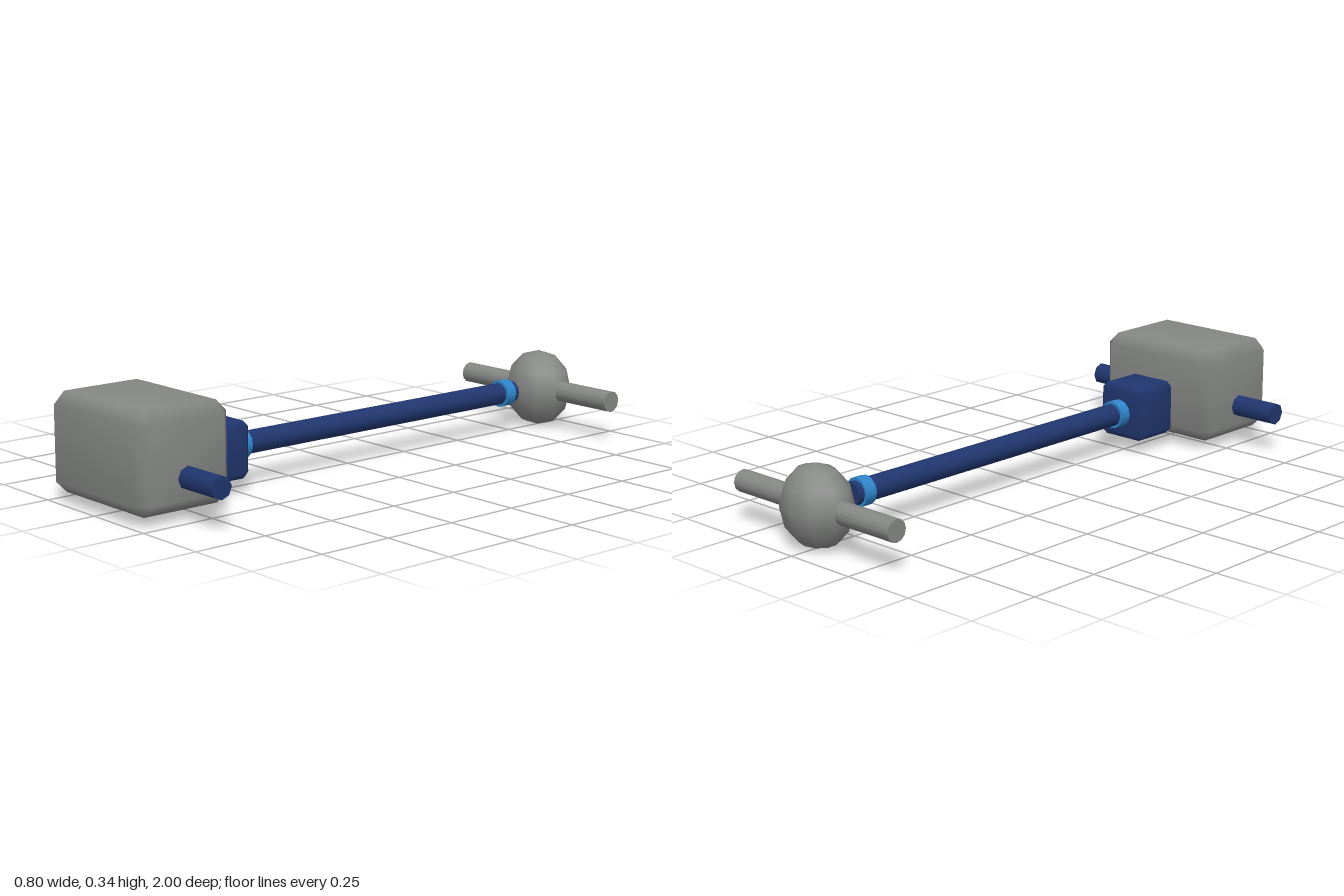
import * as THREE from 'three';
import { mergeVertices } from 'three/addons/utils/BufferGeometryUtils.js';
import { ConvexGeometry } from 'three/addons/geometries/ConvexGeometry.js';

const material = (name, color) => Object.assign(new THREE.MeshStandardMaterial({ color }), { name });

// Box with single-step bevels on every edge and smooth shading
function bevelBox(w, h, d, bevel) {
  const half = [w / 2, h / 2, d / 2];
  const points = [];
  for (const sx of [-1, 1]) for (const sy of [-1, 1]) for (const sz of [-1, 1]) {
    for (let axis = 0; axis < 3; axis++) {
      const p = half.map((v, i) => (i === axis ? v : v - bevel));
      points.push(new THREE.Vector3(sx * p[0], sy * p[1], sz * p[2]));
    }
  }
  let geometry = new ConvexGeometry(points);
  geometry.deleteAttribute('normal');
  geometry = mergeVertices(geometry, 1e-5);
  geometry.computeVertexNormals();
  return geometry;
}

export function createModel() {
  const group = new THREE.Group();
  const grey = material('cast grey', 0x868886);
  const navy = material('navy', 0x20366f);
  const blue = material('bright blue', 0x2f86cc);
  const axisY = 0.135;

  const add = (name, geometry, mat, y, z) => {
    const mesh = new THREE.Mesh(geometry, mat);
    mesh.name = name;
    mesh.position.set(0, y, z);
    group.add(mesh);
    return mesh;
  };
  // Rods across the model (x) and along it (z)
  const crossRod = (name, radius, length, sides, mat, z) =>
    add(name, new THREE.CylinderGeometry(radius, radius, length, sides).rotateZ(Math.PI / 2), mat, axisY, z);
  const longRod = (name, radius, z0, z1, sides, mat) =>
    add(name, new THREE.CylinderGeometry(radius, radius, z1 - z0, sides).rotateX(Math.PI / 2), mat, axisY + 0.001, (z0 + z1) / 2);

  // Front power unit and its output axle
  add('engineBlock', bevelBox(0.476, 0.316, 0.345, 0.038), grey, 0.187, 0.8275);
  crossRod('frontAxle', 0.037, 0.795, 8, navy, 0.827);
  add('gearbox', bevelBox(0.184, 0.184, 0.184, 0.02), navy, 0.137, 0.564);

  // Drive shaft with a collar near each end
  longRod('driveShaft', 0.038, -0.76, 0.48, 12, navy);
  longRod('frontCollar', 0.047, 0.432, 0.474, 12, blue);
  longRod('rearCollar', 0.047, -0.738, -0.697, 12, blue);

  // Rear differential and axle
  const housing = new THREE.SphereGeometry(1, 10, 6, Math.PI / 2).scale(0.128, 0.133, 0.105);
  add('differential', housing, grey, 0.133, -0.895);
  crossRod('rearAxle', 0.036, 0.69, 12, grey, -0.895);

  return group;
}
